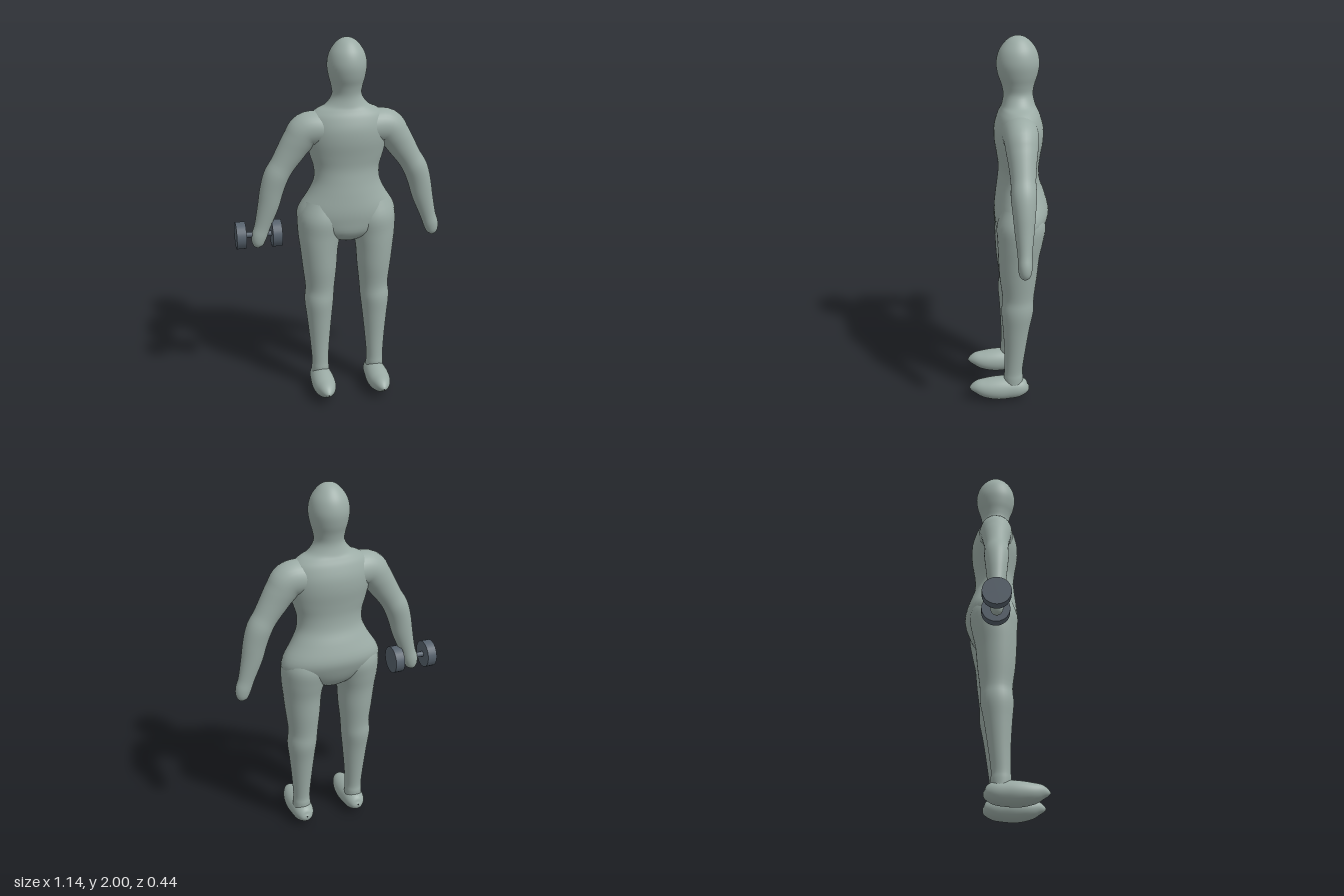
import * as THREE from 'three';

const X = new THREE.Vector3(1, 0, 0);
const Z = new THREE.Vector3(0, 0, 1);

// Smooth skin through elliptical stations [x, y, z, a, b];
// b is the half-width along the fixed axis "side", a the one across it.
function loft(stations, side, radial = 32, sub = 4) {
  const path = new THREE.CatmullRomCurve3(
    stations.map(s => new THREE.Vector3(s[0], s[1], s[2])), false, 'catmullrom', 0.5);
  const size = new THREE.CatmullRomCurve3(
    stations.map(s => new THREE.Vector3(s[3], s[4], 0)), false, 'catmullrom', 0.5);
  const rows = (stations.length - 1) * sub;
  const pos = [], index = [];
  for (let i = 0; i <= rows; i++) {
    const c = path.getPoint(i / rows), r = size.getPoint(i / rows);
    const u = path.getTangent(i / rows).cross(side).normalize();
    for (let j = 0; j < radial; j++) {
      const th = (j / radial) * Math.PI * 2;
      const p = c.clone()
        .addScaledVector(u, Math.max(r.x, 0.001) * Math.cos(th))
        .addScaledVector(side, Math.max(r.y, 0.001) * Math.sin(th));
      pos.push(p.x, p.y, p.z);
      if (i < rows) {
        const a = i * radial + j, b = i * radial + (j + 1) % radial;
        index.push(a, a + radial, b, b, a + radial, b + radial);
      }
    }
  }
  const g = new THREE.BufferGeometry();
  g.setAttribute('position', new THREE.Float32BufferAttribute(pos, 3));
  g.setIndex(index);
  g.computeVertexNormals();
  return g;
}

// Torso, neck and head: [y, centre z, half-width, half-depth]
const TRUNK = [
  [0.885, -0.06, 0.002, 0.002], [0.9, -0.06, 0.07, 0.06], [0.95, -0.06, 0.19, 0.112],
  [1.02, -0.07, 0.268, 0.136], [1.085, -0.075, 0.266, 0.145], [1.17, -0.068, 0.214, 0.13],
  [1.24, -0.06, 0.182, 0.113], [1.31, -0.06, 0.18, 0.107], [1.38, -0.06, 0.2, 0.115],
  [1.46, -0.06, 0.218, 0.128], [1.53, -0.06, 0.222, 0.128], [1.59, -0.06, 0.205, 0.112],
  [1.625, -0.06, 0.165, 0.096], [1.65, -0.059, 0.115, 0.086], [1.7, -0.057, 0.08, 0.077],
  [1.75, -0.056, 0.084, 0.085], [1.8, -0.055, 0.097, 0.102], [1.86, -0.055, 0.105, 0.111],
  [1.92, -0.055, 0.093, 0.098], [1.965, -0.055, 0.064, 0.068], [1.99, -0.055, 0.034, 0.036],
  [2.0, -0.055, 0.002, 0.002],
];

// Arm from inside the chest to the fingertips: [x, y, half-width, half-depth]
const ARM = [
  [0.06, 1.51, 0.1, 0.1], [0.15, 1.525, 0.095, 0.095], [0.22, 1.515, 0.095, 0.088],
  [0.265, 1.465, 0.084, 0.08], [0.305, 1.405, 0.076, 0.07], [0.35, 1.335, 0.067, 0.063],
  [0.385, 1.275, 0.068, 0.065], [0.41, 1.2, 0.064, 0.058], [0.43, 1.115, 0.058, 0.05],
  [0.465, 1.0, 0.044, 0.037], [0.485, 0.94, 0.042, 0.036], [0.492, 0.895, 0.029, 0.027],
  [0.492, 0.873, 0.002, 0.002],
];

// Leg from inside the hip to the ankle: [x, y, z, half-width, half-depth]
const LEG = [
  [0.135, 1.12, -0.065, 0.1, 0.1], [0.145, 1.03, -0.065, 0.126, 0.128],
  [0.153, 0.94, -0.06, 0.118, 0.12], [0.156, 0.85, -0.052, 0.104, 0.109],
  [0.154, 0.74, -0.05, 0.094, 0.1], [0.154, 0.62, -0.05, 0.081, 0.085],
  [0.16, 0.54, -0.046, 0.081, 0.087], [0.16, 0.44, -0.04, 0.07, 0.073],
  [0.16, 0.3, -0.033, 0.056, 0.058], [0.16, 0.18, -0.025, 0.047, 0.05],
  [0.16, 0.135, -0.025, 0.049, 0.053], [0.16, 0.08, -0.025, 0.05, 0.05],
];

// Foot from heel to toe: [y, z, half-height, half-width]
const FOOT = [
  [0.07, -0.113, 0.002, 0.002], [0.068, -0.1, 0.033, 0.034], [0.069, -0.06, 0.057, 0.056],
  [0.068, 0, 0.065, 0.063], [0.066, 0.06, 0.066, 0.066], [0.068, 0.12, 0.057, 0.06],
  [0.074, 0.17, 0.042, 0.044], [0.072, 0.205, 0.02, 0.022], [0.07, 0.22, 0.002, 0.002],
];

export function createModel() {
  const model = new THREE.Group();
  model.name = 'figureWithDumbbell';
  const skin = new THREE.MeshStandardMaterial({ color: 0x9caca6 });
  skin.name = 'greyGreenSkin';
  const metal = new THREE.MeshStandardMaterial({ color: 0x56616c });
  metal.name = 'darkMetal';

  const add = (parent, name, geometry, material) => {
    const mesh = new THREE.Mesh(geometry, material);
    mesh.name = name;
    parent.add(mesh);
    return mesh;
  };

  // Body, slightly off centre because of the dumbbell
  const body = new THREE.Group();
  body.name = 'body';
  body.position.x = 0.04;
  model.add(body);
  add(body, 'torsoAndHead', loft(TRUNK.map(([y, z, a, b]) => [0, y, z, a, b]), Z, 48), skin);

  // Limbs on both sides
  for (const [side, s] of [['left', 1], ['right', -1]]) {
    add(body, side + 'Arm', loft(ARM.map(([x, y, a, b]) => [s * x, y, -0.057, a, b]), Z), skin);
    add(body, side + 'Leg', loft(LEG.map(([x, y, z, a, b]) => [s * x, y, z, a, b]), Z), skin);
    add(body, side + 'Foot', loft(FOOT.map(([y, z, a, b]) => [s * 0.158, y, z, a, b]), X), skin);
  }

  // Dumbbell in the right hand
  const dumbbell = new THREE.Group();
  dumbbell.name = 'dumbbell';
  dumbbell.position.set(-0.448, 0.953, -0.06);
  dumbbell.rotation.z = Math.PI / 2;
  model.add(dumbbell);
  add(dumbbell, 'handle', new THREE.CylinderGeometry(0.015, 0.015, 0.2, 16), metal);
  for (const s of [1, -1]) {
    const plate = add(dumbbell, s > 0 ? 'outerWeight' : 'innerWeight',
      new THREE.CylinderGeometry(0.074, 0.074, 0.052, 24), metal);
    plate.position.y = s * 0.097;
  }
  return model;
}
